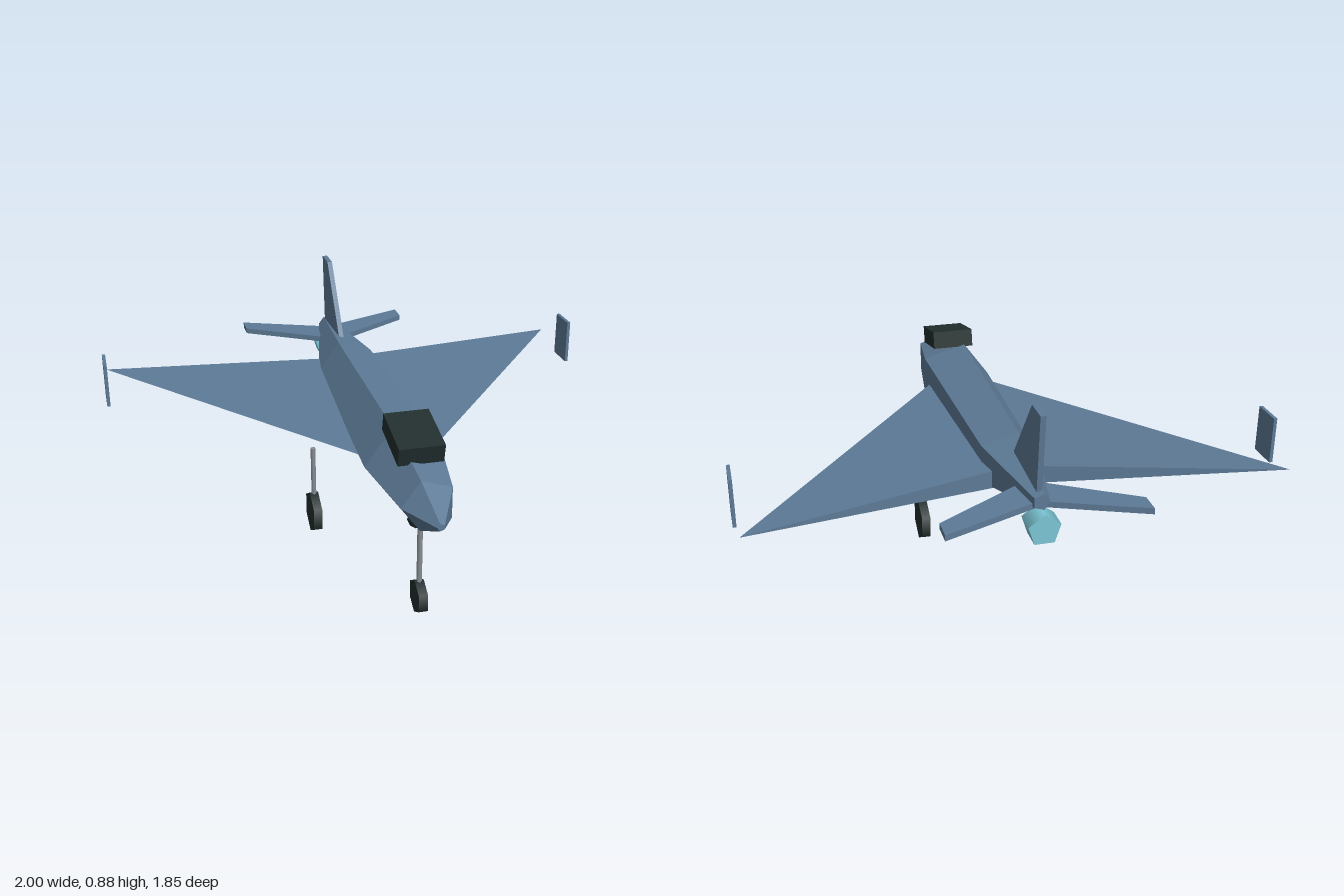
import * as THREE from 'three';
import { ConvexGeometry } from 'three/addons/geometries/ConvexGeometry.js';

const material = (name, color) => {
  const m = new THREE.MeshStandardMaterial({ color });
  m.name = name;
  return m;
};

// Five-sided body lofted through [z, centre height, radius] stations, nose to tail
function bodyGeometry(stations) {
  const sides = 5;
  const pos = [];
  const point = ([z, y, r], i) => {
    const a = ((i + 0.5) / sides) * Math.PI * 2;
    return [r * Math.cos(a), y + r * Math.sin(a), z];
  };
  const first = stations[0];
  const last = stations[stations.length - 1];
  for (let i = 0; i < sides; i++) {
    for (let s = 0; s < stations.length - 1; s++) {
      const a = point(stations[s], i), b = point(stations[s], i + 1);
      const c = point(stations[s + 1], i), d = point(stations[s + 1], i + 1);
      pos.push(...a, ...c, ...b, ...b, ...c, ...d);
    }
    pos.push(0, first[1], first[0], ...point(first, i), ...point(first, i + 1));
    pos.push(0, last[1], last[0], ...point(last, i + 1), ...point(last, i));
  }
  const geo = new THREE.BufferGeometry();
  geo.setAttribute('position', new THREE.Float32BufferAttribute(pos, 3));
  geo.computeVertexNormals();
  return geo;
}

const convex = (points) => new ConvexGeometry(points.map((p) => new THREE.Vector3(...p)));

export function createModel() {
  const model = new THREE.Group();
  model.name = 'jet';
  const blue = material('slate blue', 0x5d7a96);
  const dark = material('near black', 0x222e2e);
  const cyan = material('pale cyan', 0x7cc6d6);
  const grey = material('strut grey', 0x8a9096);

  const add = (name, geo, mat, x = 0, y = 0, z = 0) => {
    const mesh = new THREE.Mesh(geo, mat);
    mesh.name = name;
    mesh.position.set(x, y, z);
    model.add(mesh);
    return mesh;
  };

  // Fuselage
  add('fuselage', bodyGeometry([
    [0.925, 0.473, 0.014],
    [0.79, 0.485, 0.1],
    [0.49, 0.5, 0.15],
    [-0.39, 0.519, 0.122],
    [-0.81, 0.572, 0.031],
  ]), blue);

  // Tilted canopy and sensor ball under the nose
  add('canopy', new THREE.BoxGeometry(0.165, 0.07, 0.21), dark, 0, 0.646, 0.59).rotation.x = 0.22;
  add('sensorBall', new THREE.SphereGeometry(0.038, 6, 4), dark, 0, 0.363, 0.655);

  // Tail fin
  const finProfile = [[0.6, -0.49], [0.885, -0.71], [0.885, -0.807], [0.575, -0.78]];
  add('tailFin', convex(finProfile.flatMap(([y, z]) => [[0.01, y, z], [-0.01, y, z]])), blue);

  // Engine nozzle
  add('nozzle', new THREE.CylinderGeometry(0.06, 0.06, 0.085, 5), cyan, 0, 0.487, -0.81)
    .rotation.x = -Math.PI / 2;

  // Wheel on a strut
  const gear = (name, x, z, r, top) => {
    add(name + 'Wheel', new THREE.CylinderGeometry(r, r, 0.034, 6), dark, x, r, z)
      .rotation.set(0, 0, Math.PI / 2);
    // turn the hexagon so a corner touches the ground
    model.children[model.children.length - 1].geometry.rotateY(Math.PI / 2);
    add(name + 'Strut', new THREE.CylinderGeometry(0.01, 0.01, top - r, 6), grey, x, (top + r) / 2, z);
  };
  gear('nose', 0, 0.69, 0.065, 0.37);

  // Mirrored parts
  const tailProfile = [[0, -0.63], [0.355, -0.847], [0.355, -0.928], [0, -0.785]];
  for (const [side, s] of [['left', 1], ['right', -1]]) {
    add(side + 'Wing', convex([
      [0, 0.5, 0.57], [0, 0.537, -0.463], [0, 0.463, -0.463], [s * 0.985, 0.5, -0.67],
    ]), blue);
    add(side + 'Tailplane', convex(tailProfile.flatMap(([x, z]) =>
      [[s * x, 0.542, z], [s * x, 0.564, z]])), blue);
    add(side + 'Winglet', new THREE.BoxGeometry(0.013, 0.18, 0.12), blue, s * 0.9935, 0.54, -0.45);
    gear(side + 'Main', s * 0.24, 0.025, 0.086, 0.367);
  }
  return model;
}
